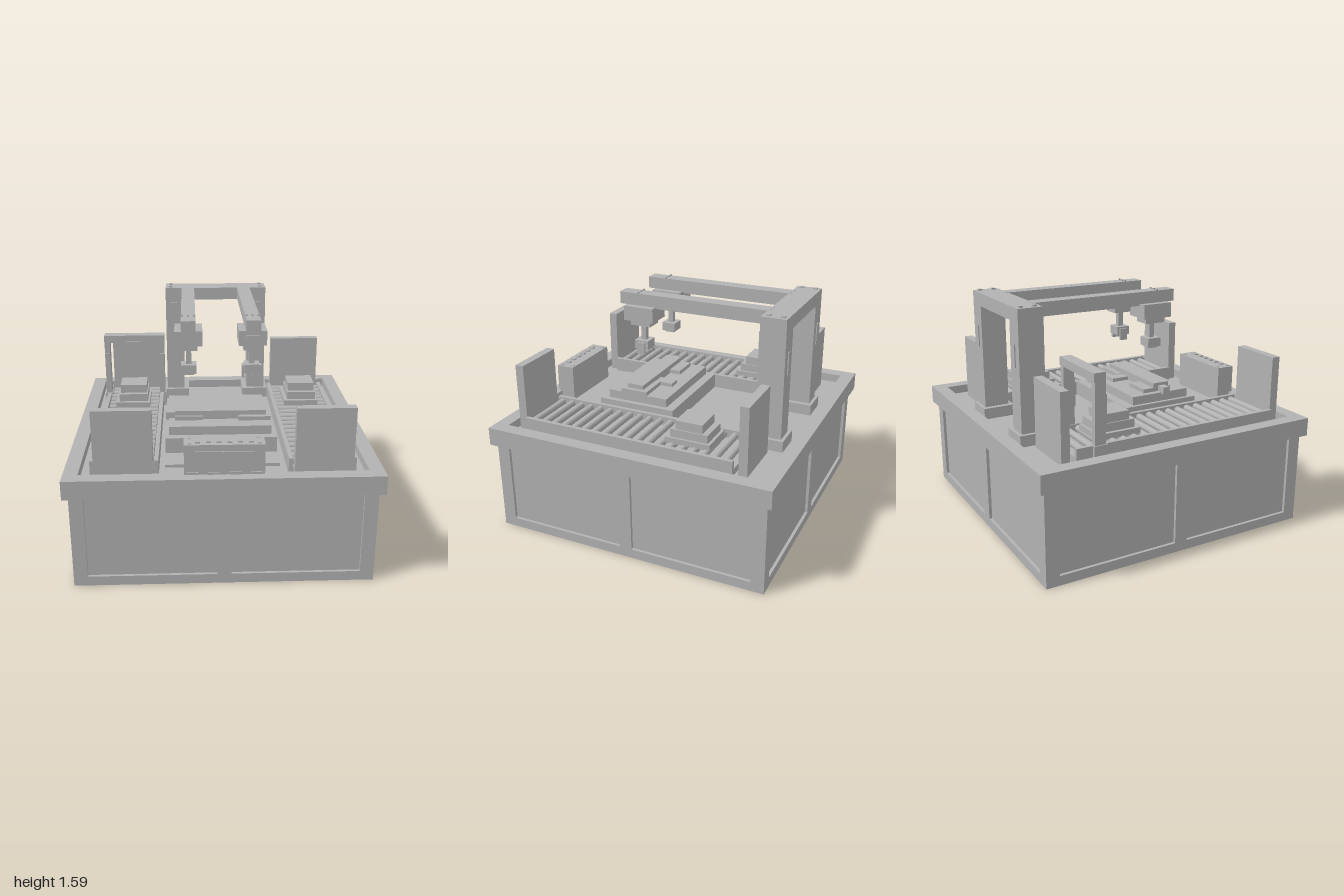
import * as THREE from 'three';

export function createModel() {
  const model = new THREE.Group();
  const grey = new THREE.MeshStandardMaterial({ color: 0xb2b2b2 });
  grey.name = 'machine grey';

  const group = (name, parent = model) => {
    const g = new THREE.Group();
    g.name = name;
    parent.add(g);
    return g;
  };
  // Box given by its limits on each axis
  const box = (parent, name, x0, x1, y0, y1, z0, z1) => {
    const m = new THREE.Mesh(new THREE.BoxGeometry(x1 - x0, y1 - y0, z1 - z0), grey);
    m.position.set((x0 + x1) / 2, (y0 + y1) / 2, (z0 + z1) / 2);
    m.name = name;
    parent.add(m);
    return m;
  };

  // Cabinet: core with a raised frame on all four sides
  const cabinet = group('cabinet');
  box(cabinet, 'cabinetCore', -0.945, 0.945, 0, 0.64, -0.945, 0.945);
  for (let i = 0; i < 4; i++) {
    const side = group('cabinetFrame', cabinet);
    side.rotation.y = i * Math.PI / 2;
    box(side, 'bottomRail', -0.965, 0.965, 0, 0.065, 0.94, 0.965);
    box(side, 'cornerPost', -0.965, -0.875, 0.065, 0.635, 0.94, 0.965);
    box(side, 'centrePost', -0.045, 0.045, 0.065, 0.635, 0.94, 0.965);
    box(side, 'cornerPost', 0.875, 0.965, 0.065, 0.635, 0.94, 0.965);
  }

  // Table top: square rim around a lower deck
  const rimShape = new THREE.Shape([[-1, -1], [1, -1], [1, 1], [-1, 1]].map(p => new THREE.Vector2(...p)));
  rimShape.holes.push(new THREE.Path([[-0.905, -0.905], [-0.905, 0.905], [0.905, 0.905], [0.905, -0.905]]
    .map(p => new THREE.Vector2(...p))));
  const rim = new THREE.Mesh(new THREE.ExtrudeGeometry(rimShape, { depth: 0.125, bevelEnabled: false }), grey);
  rim.rotation.x = -Math.PI / 2;
  rim.position.y = 0.63;
  rim.name = 'tableRim';
  model.add(rim);
  box(model, 'deck', -0.91, 0.91, 0.635, 0.695, -0.91, 0.91);
  box(model, 'centrePlate', -0.375, 0.37, 0.69, 0.715, -0.65, 0.69);

  // Roller conveyors with end shields and a stacked workpiece
  for (const s of [-1, 1]) {
    const conveyor = group(s < 0 ? 'rightConveyor' : 'leftConveyor');
    conveyor.position.x = s * 0.627;
    for (const r of [-1, 1]) {
      const x = r * 0.202;
      box(conveyor, 'sideRail', x - 0.014, x + 0.014, 0.69, 0.8, -0.69, 0.81);
    }
    box(conveyor, 'bed', -0.19, 0.19, 0.69, 0.74, -0.69, 0.81);
    for (let i = 0; i < 19; i++) {
      const roller = new THREE.Mesh(new THREE.CylinderGeometry(0.0225, 0.0225, 0.365, 12), grey);
      roller.rotation.z = Math.PI / 2;
      roller.position.set(0, 0.77, 0.767 - i * 0.0777);
      roller.name = 'roller';
      conveyor.add(roller);
    }
    box(conveyor, 'frontShield', -0.185, 0.185, 0.69, 1.16, 0.818, 0.877);
    box(conveyor, 'rearShield', -0.185, 0.185, 0.69, 1.16, -0.777, -0.718);
    const piece = group('workpiece', conveyor);
    box(piece, 'tray', -0.13, 0.12, 0.785, 0.825, -0.5, -0.19);
    box(piece, 'body', -0.105, 0.105, 0.82, 0.88, -0.48, -0.22);
    box(piece, 'lid', -0.097, 0.097, 0.88, 0.94, -0.44, -0.255);
  }

  // Scanner gate over the right conveyor
  const gate = group('scannerGate');
  for (const s of [-1, 1]) {
    const x = -0.627 + s * 0.207;
    box(gate, 'gatePost', x - 0.02, x + 0.02, 0.69, 1.21, -0.57, -0.495);
    box(gate, 'gateFoot', x - 0.027, x + 0.027, 0.69, 0.8, -0.58, -0.485);
    box(gate, 'gateSensor', x - 0.016, x + 0.016, 0.92, 1.115, -0.5, -0.487);
  }
  box(gate, 'gateBeam', -0.855, -0.4, 1.2, 1.255, -0.577, -0.495);
  box(gate, 'scannerHead', -0.69, -0.57, 1.187, 1.21, -0.55, -0.475);

  // Assembly fixture in the middle
  const fixture = group('fixture');
  box(fixture, 'fixtureBase', -0.375, 0.37, 0.69, 0.79, -0.035, 0.47);
  box(fixture, 'fixtureEdge', -0.375, 0.37, 0.7, 0.82, -0.065, 0.5);
  box(fixture, 'fixtureTable', -0.35, 0.335, 0.8, 0.88, 0, 0.445);
  box(fixture, 'rightNest', -0.31, -0.12, 0.88, 0.908, 0.11, 0.33);
  box(fixture, 'leftNest', 0.12, 0.34, 0.88, 0.908, 0.15, 0.345);
  box(fixture, 'crossBar', -0.31, 0.31, 0.88, 0.94, 0.19, 0.31);
  box(fixture, 'clampBlock', 0.035, 0.12, 0.88, 0.905, 0.06, 0.19);
  box(fixture, 'endStop', -0.375, -0.3, 0.87, 0.92, 0.23, 0.28);

  // Gantry frame
  const gantry = group('gantry');
  for (const s of [-1, 1]) {
    const at = (name, a, b, ...rest) => box(gantry, name, Math.min(s * a, s * b), Math.max(s * a, s * b), ...rest);
    at('column', 0.25, 0.385, 0.69, 1.5, -0.845, -0.674);
    at('columnFoot', 0.215, 0.41, 0.69, 0.772, -0.867, -0.645);
    at('columnRail', 0.285, 0.35, 0.85, 1.47, -0.68, -0.657);
    at('columnHandle', 0.3, 0.33, 1.2, 1.35, -0.852, -0.84);
    for (const z of [-0.81, -0.715]) at('bolt', 0.332, 0.358, 1.575, 1.59, z - 0.013, z + 0.013);
  }
  box(gantry, 'topBeam', -0.385, 0.385, 1.49, 1.58, -0.845, -0.674);

  // Two cantilever arms, each with a carriage and a hanging tool
  for (const s of [-1, 1]) {
    const arm = group(s < 0 ? 'rightArm' : 'leftArm');
    arm.position.x = s * 0.213;
    box(arm, 'armBeam', -0.048, 0.048, 1.5, 1.582, -0.69, 0.374);
    box(arm, 'linearRail', -0.03, 0.03, 1.485, 1.505, -0.64, 0.12);
    box(arm, 'carriage', -0.093, 0.093, 1.4, 1.5, 0.11, 0.325);
    box(arm, 'carriagePlate', -0.043, 0.043, 1.443, 1.472, 0.32, 0.333);
    box(arm, 'toolMount', -0.06, 0.06, 1.36, 1.405, 0.145, 0.293);
    box(arm, 'toolRod', -0.018, 0.018, 1.24, 1.37, 0.2, 0.236);
    box(arm, 'toolHead', -0.052, 0.052, 1.192, 1.252, 0.17, 0.27);
    if (s < 0) {
      box(arm, 'suctionPad', -0.035, 0.035, 1.18, 1.195, 0.185, 0.255);
    } else {
      for (const f of [-0.057, 0.057]) box(arm, 'gripperFinger', f - 0.009, f + 0.009, 1.155, 1.24, 0.19, 0.246);
    }
    for (const x of [-0.04, 0, 0.04]) box(arm, 'bolt', x - 0.006, x + 0.006, 1.575, 1.592, 0.234, 0.246);
  }

  // Operator console at the front edge
  const consoleBox = group('console');
  box(consoleBox, 'consoleBody', -0.25, 0.25, 0.7, 0.952, 0.8, 0.93);
  box(consoleBox, 'screen', -0.185, 0.18, 0.835, 0.91, 0.929, 0.938);
  for (let i = 0; i < 6; i++) {
    const x = -0.165 + i * 0.066;
    box(consoleBox, 'topButton', x - 0.015, x + 0.015, 0.945, 0.962, 0.87, 0.9);
  }
  for (const x of [-0.215, 0.215]) for (const z of [0.82, 0.905]) {
    box(consoleBox, 'consoleBolt', x - 0.011, x + 0.011, 0.945, 0.957, z - 0.011, z + 0.011);
  }
  for (let i = 0; i < 4; i++) {
    const x = -0.2 + i * 0.133;
    box(consoleBox, 'frontKey', x - 0.036, x + 0.036, 0.757, 0.772, 0.929, 0.938);
  }
  return model;
}
